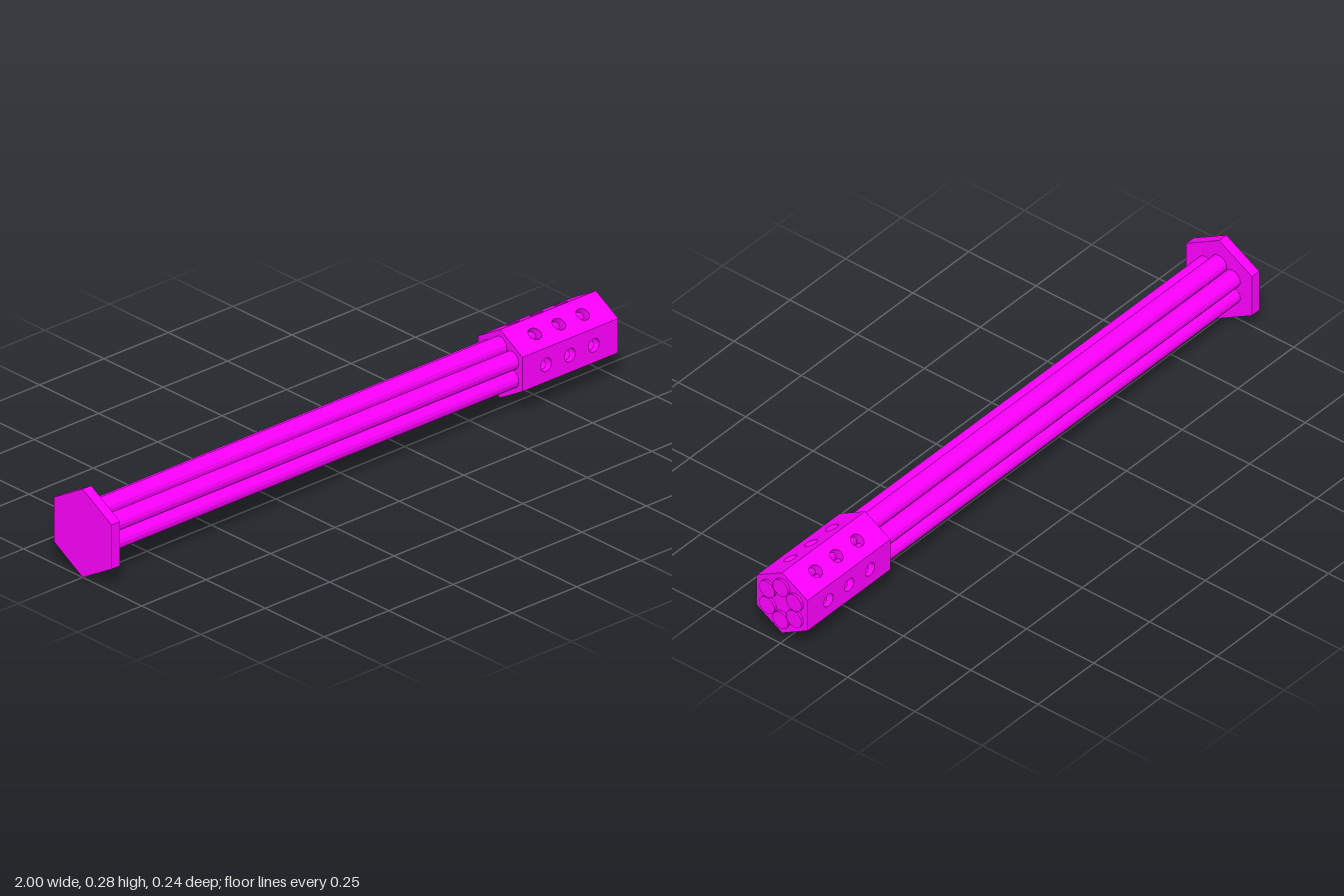
import * as THREE from 'three';

const AXIS_Y = 0.141;
const ROD_R = 0.029, RING_R = 0.058;
const SLEEVE_R = 0.109, SLEEVE_X0 = 0.62, SLEEVE_X1 = 0.992;
const CAP = 0.004;

export function createModel() {
  const model = new THREE.Group();
  const material = new THREE.MeshStandardMaterial({ color: 0xff00ff, flatShading: true });

  const add = (name, geometry, parent = model) => {
    const mesh = new THREE.Mesh(geometry, material);
    mesh.name = name;
    parent.add(mesh);
    return mesh;
  };

  // Prism lying along x, with one corner pointing up
  const prism = (radius, x0, x1, sides) =>
    new THREE.CylinderGeometry(radius, radius, x1 - x0, sides)
      .rotateZ(-Math.PI / 2)
      .rotateX(Math.PI / 2)
      .translate((x0 + x1) / 2, 0, 0);

  // Hexagonal base plate
  add('basePlate', prism(0.141, -1, -0.967, 6));

  // Bundle of six touching rods around a core
  const rods = new THREE.Group();
  rods.name = 'rodBundle';
  model.add(rods);
  for (let i = 0; i < 6; i++) {
    const a = Math.PI / 2 + (i * Math.PI) / 3;
    add('rod', prism(ROD_R, -0.98, 1, 16).translate(0, RING_R * Math.sin(a), RING_R * Math.cos(a)), rods);
  }
  add('coreRod', prism(ROD_R, -0.98, SLEEVE_X1, 16), rods);

  // Hexagonal sleeve: six walls, each drilled with three holes
  const sleeve = new THREE.Group();
  sleeve.name = 'sleeve';
  model.add(sleeve);
  const half = SLEEVE_R / 2, depth = 0.044;
  const apothem = SLEEVE_R * Math.cos(Math.PI / 6);
  const x0 = SLEEVE_X0 + CAP, x1 = SLEEVE_X1 - CAP;
  const wall = new THREE.Shape([
    new THREE.Vector2(x0, -half), new THREE.Vector2(x1, -half),
    new THREE.Vector2(x1, half), new THREE.Vector2(x0, half),
  ]);
  for (const x of [0.712, 0.805, 0.898]) {
    wall.holes.push(new THREE.Path().absarc(x, 0, 0.021, 0, Math.PI * 2, true));
  }
  const wallGeometry = new THREE.ExtrudeGeometry(wall, { depth, bevelEnabled: false, curveSegments: 20 })
    .translate(0, 0, apothem - depth);
  for (let i = 0; i < 6; i++) {
    add('sleeveWall', wallGeometry, sleeve).rotation.x = (i * Math.PI) / 3;
  }

  // Closed ends of the sleeve
  add('sleeveRearCap', prism(SLEEVE_R, SLEEVE_X0, x0, 6), sleeve);
  add('sleeveFrontCap', prism(SLEEVE_R, x1, SLEEVE_X1, 6), sleeve);

  for (const part of model.children) part.position.y = AXIS_Y;
  return model;
}
